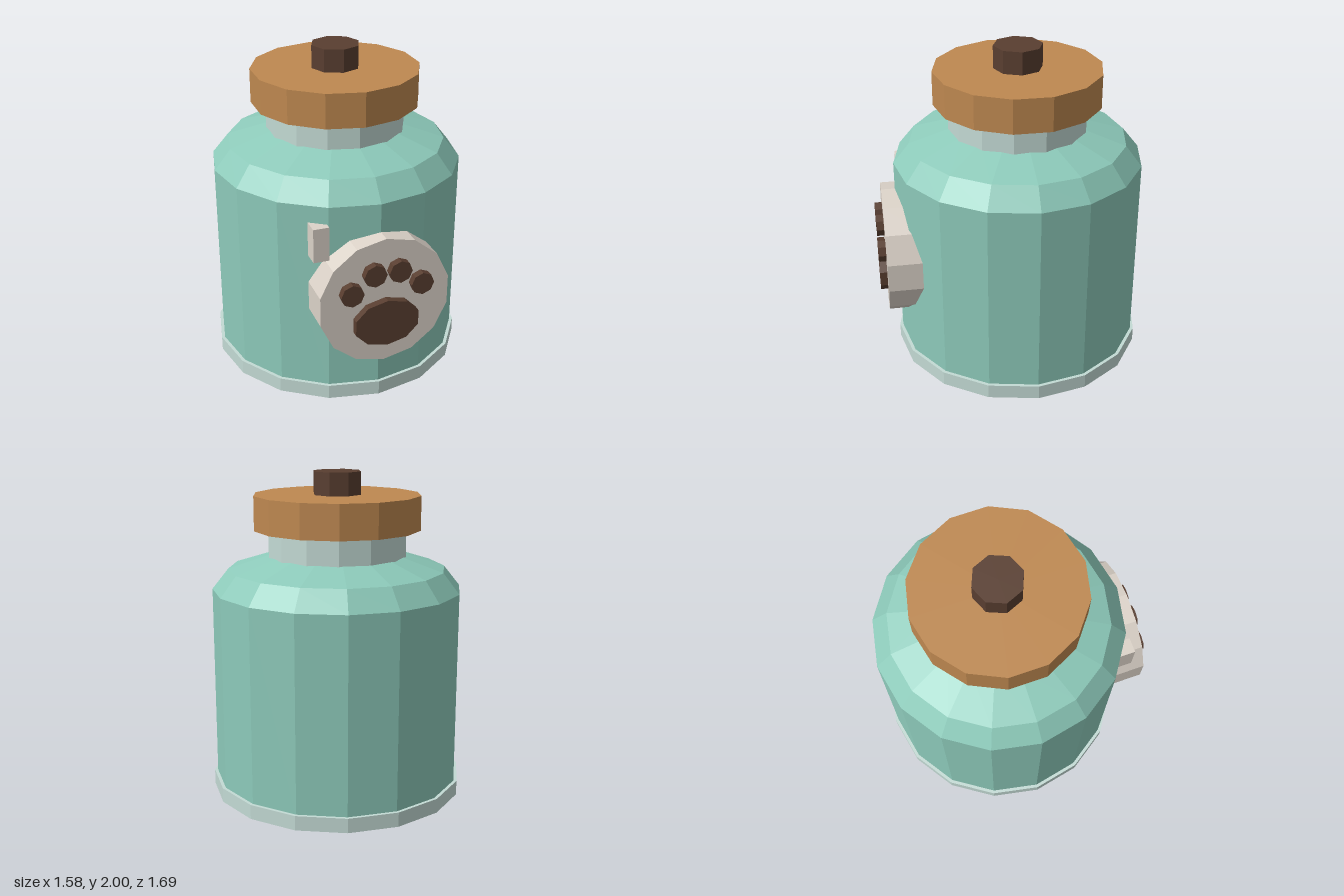
import * as THREE from 'three';

const paint = (name, color) => {
  const m = new THREE.MeshStandardMaterial({ color });
  m.name = name;
  return m;
};

export function createModel() {
  const teal = paint('teal', 0x8dcaba);
  const paleGlass = paint('pale glass', 0xc3dad4);
  const wood = paint('wood', 0xbe8850);
  const darkBrown = paint('dark brown', 0x593e30);
  const cream = paint('cream', 0xdcd3c9);

  const model = new THREE.Group();
  model.name = 'jar';
  const axisZ = -0.055;

  // Faceted mesh: unshared corners give flat face normals
  function add(name, geometry, material, x, y, z) {
    const geo = geometry.index ? geometry.toNonIndexed() : geometry;
    geo.computeVertexNormals();
    const mesh = new THREE.Mesh(geo, material);
    mesh.name = name;
    mesh.position.set(x, y, z);
    model.add(mesh);
  }

  // Upright drum on the jar's axis
  function drum(name, radius, y0, y1, sides, material) {
    add(name, new THREE.CylinderGeometry(radius, radius, y1 - y0, sides), material, 0, (y0 + y1) / 2, axisZ);
  }

  // Disc facing the front, squashed to an ellipse
  function disc(name, rx, ry, x, y, z0, z1, sides, material) {
    const geo = new THREE.CylinderGeometry(1, 1, z1 - z0, sides);
    geo.scale(rx, 1, ry).rotateX(Math.PI / 2);
    add(name, geo, material, x, y, (z0 + z1) / 2);
  }

  // Jar: base rim, body with sloped shoulders, neck
  drum('baseRim', 0.79, 0, 0.09, 16, paleGlass);
  const profile = [[0, 0.05], [0.77, 0.05], [0.77, 1.285], [0.67, 1.41], [0.38, 1.503], [0, 1.503]]
    .map(([r, y]) => new THREE.Vector2(r, y));
  add('body', new THREE.LatheGeometry(profile, 16), teal, 0, 0, axisZ);
  drum('neck', 0.427, 1.45, 1.65, 14, paleGlass);

  // Lid and knob
  drum('lid', 0.515, 1.65, 1.86, 14, wood);
  drum('knob', 0.15, 1.85, 2, 8, darkBrown);

  // Round badge with a paw print, and a small tab beside it
  disc('badge', 0.405, 0.405, 0, 0.705, 0.55, 0.8, 14, cream);
  disc('pawPad', 0.204, 0.15, 0, 0.58, 0.78, 0.845, 10, darkBrown);
  for (const side of [-1, 1]) {
    disc('outerToe', 0.07, 0.07, side * 0.215, 0.802, 0.78, 0.845, 8, darkBrown);
    disc('innerToe', 0.07, 0.07, side * 0.077, 0.905, 0.78, 0.845, 8, darkBrown);
  }
  add('tab', new THREE.BoxGeometry(0.095, 0.21, 0.14), cream, -0.348, 1.075, 0.62);

  return model;
}
